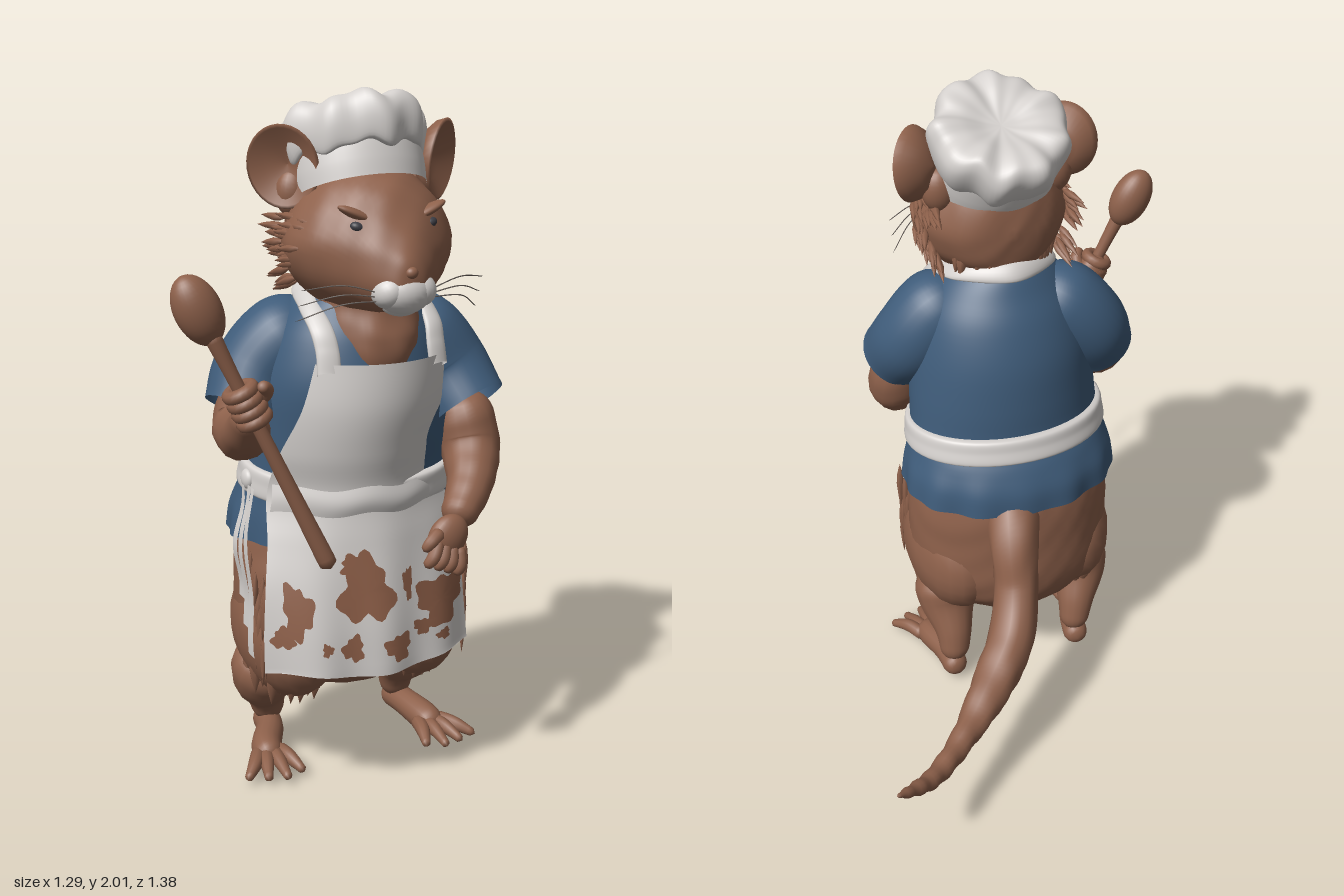
import * as THREE from 'three';
import { mergeVertices, mergeGeometries } from 'three/addons/utils/BufferGeometryUtils.js';

const CX = -0.045; // body centre line
const mat = (name, color, side = THREE.FrontSide) => {
  const m = new THREE.MeshStandardMaterial({ color, side });
  m.name = name;
  return m;
};
let seed = 7;
const rand = () => (seed = (seed * 16807) % 2147483647) / 2147483647;

// Smooth (Catmull-Rom) interpolation through rows of numbers
function sample(rows, t) {
  const n = rows.length - 1, f = Math.min(t * n, n - 1e-6), i = Math.floor(f), s = f - i;
  const at = k => rows[Math.max(0, Math.min(n, k))];
  return rows[0].map((_, c) => {
    const [a, b, d, e] = [at(i - 1)[c], at(i)[c], at(i + 1)[c], at(i + 2)[c]];
    return b + 0.5 * s * (d - a + s * (2 * a - 5 * b + 4 * d - e + s * (3 * (b - d) + e - a)));
  });
}

function weld(g) {
  g.deleteAttribute('normal');
  g.deleteAttribute('uv');
  g = mergeVertices(g, 1e-5);
  g.computeVertexNormals();
  return g;
}

// Grid surface from f(u, v) -> [x, y, z]
function grid(f, nu, nv) {
  const g = new THREE.PlaneGeometry(1, 1, nu, nv), p = g.attributes.position;
  for (let i = 0; i < p.count; i++) p.setXYZ(i, ...f(p.getX(i) + 0.5, p.getY(i) + 0.5));
  return weld(g);
}

// Stacked ellipses, rows: [y, cx, cz, rx, rz]
const loft = (rows, ripple = () => 1, nu = 56, nv = 40) => grid((u, v) => {
  const [y, cx, cz, rx, rz] = sample(rows, v), a = u * Math.PI * 2, k = ripple(a, v);
  return [cx - Math.max(rx, 0) * k * Math.cos(a), y, cz + Math.max(rz, 0) * k * Math.sin(a)];
}, nu, nv);

// Tapered tube with rounded ends, points: [x, y, z, radius]
function limb(pts, { openEnd = false, n = 40, seg = 16 } = {}) {
  const curve = new THREE.CatmullRomCurve3(pts.map(p => new THREE.Vector3(p[0], p[1], p[2])));
  const len = curve.getLength(), g = new THREE.TubeGeometry(curve, n, 1, seg);
  const p = g.attributes.position, v = new THREE.Vector3();
  for (let i = 0; i <= n; i++) {
    const u = i / n, c = curve.getPointAt(u), r = sample(pts, curve.getUtoTmapping(u))[3];
    const d = Math.min(1, (openEnd ? u : Math.min(u, 1 - u)) * len / r);
    const k = r * Math.sqrt(Math.max(0, 1 - (1 - d) ** 2));
    for (let j = 0; j <= seg; j++) {
      const q = i * (seg + 1) + j;
      v.fromBufferAttribute(p, q).sub(c).multiplyScalar(k).add(c);
      p.setXYZ(q, v.x, v.y, v.z);
    }
  }
  return weld(g);
}

function ball(x, y, z, rx, ry, rz, rotZ = 0) {
  return new THREE.SphereGeometry(1, 24, 16).scale(rx, ry, rz).rotateZ(rotZ).translate(x, y, z);
}

// Uneven fur relief along the normals
function fuzz(g, amp) {
  const p = g.attributes.position, n = g.attributes.normal;
  for (let i = 0; i < p.count; i++) {
    const [x, y, z] = [p.getX(i), p.getY(i), p.getZ(i)];
    const d = amp * Math.sin(x * 55 + y * 23) * Math.sin(z * 47 - y * 31);
    p.setXYZ(i, x + n.getX(i) * d, y + n.getY(i) * d, z + n.getZ(i) * d);
  }
  g.computeVertexNormals();
  return g;
}

// Teardrop lock of fur from a to a + direction
function tuft(a, dir, r) {
  const d = new THREE.Vector3(...dir), l = d.length();
  const q = new THREE.Quaternion().setFromUnitVectors(new THREE.Vector3(0, 1, 0), d.normalize());
  const profile = [[0, 0], [r * 0.7, l * 0.18], [r, l * 0.4], [r * 0.6, l * 0.72], [0, l]].map(p => new THREE.Vector2(...p));
  return new THREE.LatheGeometry(profile, 7).applyQuaternion(q).translate(...a);
}

// Apron rows: [y, centre x, half width, front z, curvature]
const apronRows = [[0.4, -0.08, 0.32, 0.6, 0.9], [0.52, -0.08, 0.315, 0.59, 1.0], [0.65, -0.075, 0.305, 0.57, 1.1],
  [0.77, -0.07, 0.29, 0.55, 1.4], [0.9, -0.075, 0.27, 0.53, 1.9], [1.02, -0.08, 0.245, 0.552, 1.9],
  [1.15, -0.065, 0.213, 0.572, 1.9], [1.28, CX, 0.197, 0.568, 1.9]];
function apronPoint(u, v) {
  const [y, cx, w, z, k] = sample(apronRows, v), x = (u * 2 - 1) * w;
  const fold = 0.008 * Math.sin(x * 32 + 1) * Math.max(0, 1 - v * 1.8);
  return [cx + x, y - 0.012 * Math.cos(x * 9) * (v < 0.02 ? 1 : 0), z - k * x * x + fold];
}
function onApron(x, y) {
  let lo = 0, hi = 1;
  for (let i = 0; i < 20; i++) { const m = (lo + hi) / 2; if (sample(apronRows, m)[0] < y) lo = m; else hi = m; }
  const [, cx, w] = sample(apronRows, lo), u = THREE.MathUtils.clamp(((x - cx) / w + 1) / 2, 0.01, 0.99);
  const p = apronPoint(u, lo);
  return [p[0], y, p[2] + 0.005];
}

export function createModel() {
  const root = new THREE.Group();
  root.name = 'ratCook';
  const fur = mat('furBrown', 0x8e614b), shirt = mat('shirtBlue', 0x3f5c7a, THREE.DoubleSide);
  const cloth = mat('clothWhite', 0xd4d0cd, THREE.DoubleSide), eyeMat = mat('eyeDark', 0x3c3d44);
  const stain = mat('stainBrown', 0x8e5f48, THREE.DoubleSide), whiskerMat = mat('whiskerGrey', 0x6a625d);
  const add = (name, geo, m, parent = root) => {
    const mesh = new THREE.Mesh(geo, m);
    mesh.name = name;
    parent.add(mesh);
    return mesh;
  };

  // Hips, neck and tail
  add('hips', fuzz(loft([[0.23, -0.04, 0.2, 0, 0], [0.25, -0.04, 0.2, 0.15, 0.13], [0.32, -0.04, 0.22, 0.27, 0.23],
    [0.42, -0.04, 0.225, 0.325, 0.27], [0.57, -0.04, 0.23, 0.335, 0.275], [0.7, -0.04, 0.22, 0.325, 0.257],
    [0.85, -0.04, 0.23, 0.29, 0.23]]), 0.002), fur);
  add('neck', fuzz(loft([[1.2, CX, 0.41, 0.08, 0.1], [1.27, CX, 0.4, 0.125, 0.147], [1.34, CX, 0.38, 0.155, 0.168],
    [1.43, CX, 0.36, 0.155, 0.16], [1.55, CX, 0.36, 0.16, 0.17]]), 0.003), fur);
  add('tail', fuzz(limb([[0.0, 0.74, 0.08, 0.09], [0.04, 0.65, -0.04, 0.08], [0.06, 0.5, -0.12, 0.07], [0.11, 0.38, -0.21, 0.075],
    [0.21, 0.31, -0.31, 0.066], [0.36, 0.25, -0.45, 0.042], [0.49, 0.25, -0.56, 0.03], [0.57, 0.3, -0.63, 0.022],
    [0.64, 0.36, -0.69, 0.01]], { n: 80 }), 0.005), fur);

  // Legs and feet: the left foot points ahead, the right one is turned out
  for (const [s, heel, ball0] of [[1, 0.25, 0.275], [-1, 0.185, 0.255]]) {
    const leg = new THREE.Group();
    leg.name = s > 0 ? 'leftLeg' : 'rightLeg';
    root.add(leg);
    const at = (d, y, z, r) => [-0.04 + s * d, y, z, r];
    add('thigh', fuzz(ball(-0.04 + s * 0.195, 0.44, 0.25, 0.15, 0.215, 0.245), 0.002), fur, leg);
    add('shin', limb([at(0.225, 0.36, 0.23, 0.13), at(0.238, 0.25, 0.18, 0.098), at((heel + 0.23) / 2, 0.16, 0.115, 0.062),
      at(heel, 0.06, 0.08, 0.046)]), fur, leg);
    add('foot', limb([at(heel, 0.046, 0.035, 0.042), at(heel * 0.7 + ball0 * 0.3, 0.05, 0.14, 0.042),
      at(ball0, 0.04, 0.24, 0.046), at(ball0 + 0.012, 0.03, 0.31, 0.04)]), fur, leg);
    for (let i = 0; i < 4; i++) {
      const k = i - 1.5, e = ball0 + 0.025 + k * 0.058;
      add('toe', limb([at(ball0 + k * 0.018, 0.035, 0.25, 0.024), at(ball0 + 0.012 + k * 0.036, 0.036, 0.32, 0.022),
        at(e, 0.016, 0.42 - Math.abs(i - 1.2) * 0.025, 0.012)], { n: 14, seg: 10 }), fur, leg);
    }
    const tufts = [];
    for (let i = 0; i < 24; i++) {
      const a = i / 24 * Math.PI * 2, c = Math.cos(a), b = Math.sin(a);
      tufts.push(tuft([-0.04 + s * 0.2 + c * 0.105, 0.36 + rand() * 0.04, 0.24 + b * 0.16], [0, -0.12 - rand() * 0.03, -b * 0.03], 0.022));
      tufts.push(tuft([-0.04 + s * (0.312 + rand() * 0.008), 0.48 + rand() * 0.22, 0.27 + rand() * 0.15], [s * 0.004, -0.17, -0.01], 0.011));
    }
    add('thighFur', mergeGeometries(tufts), fur, leg);
  }

  // Shirt with a pleated hem
  add('shirtBody', loft([[0.73, -0.04, 0.215, 0.35, 0.268], [0.8, -0.04, 0.22, 0.342, 0.266], [0.87, -0.04, 0.238, 0.322, 0.254],
    [0.94, -0.04, 0.26, 0.307, 0.238], [1.06, -0.04, 0.28, 0.298, 0.248], [1.2, CX, 0.3, 0.285, 0.25],
    [1.32, CX, 0.31, 0.25, 0.22], [1.4, CX, 0.32, 0.2, 0.185], [1.45, CX, 0.33, 0.155, 0.165], [1.465, CX, 0.335, 0.13, 0.15]],
    (a, v) => 1 + (0.016 * Math.sin(a * 14) + 0.01 * Math.sin(a * 9 + 1)) * Math.max(0, 1 - v * 4.5), 112), shirt);
  add('rightSleeve', limb([[-0.13, 1.36, 0.29, 0.11], [-0.23, 1.3, 0.25, 0.13], [-0.31, 1.21, 0.235, 0.128],
    [-0.36, 1.11, 0.265, 0.118]], { openEnd: true, seg: 28 }), shirt);
  add('leftSleeve', limb([[0.04, 1.36, 0.33, 0.11], [0.14, 1.3, 0.34, 0.13], [0.215, 1.2, 0.365, 0.13],
    [0.255, 1.1, 0.44, 0.118]], { openEnd: true, seg: 28 }), shirt);

  // Arms and hands
  add('rightForearm', fuzz(limb([[-0.32, 1.2, 0.25, 0.085], [-0.375, 1.07, 0.29, 0.088], [-0.42, 1.09, 0.42, 0.062],
    [-0.445, 1.18, 0.53, 0.045]]), 0.002), fur);
  add('leftForearm', fuzz(limb([[0.24, 1.14, 0.41, 0.085], [0.265, 0.99, 0.44, 0.088], [0.22, 0.9, 0.53, 0.068],
    [0.13, 0.81, 0.61, 0.05]]), 0.002), fur);
  add('leftPalm', ball(0.1, 0.785, 0.63, 0.058, 0.068, 0.036, -0.6), fur);
  for (let i = 0; i < 4; i++)
    add('leftFinger', limb([[0.065 + i * 0.021, 0.785 - i * 0.009, 0.64, 0.021], [0.04 + i * 0.027, 0.742 - i * 0.013, 0.662, 0.019],
      [0.018 + i * 0.03, 0.715 - i * 0.011, 0.655, 0.014]], { n: 14, seg: 10 }), fur);
  add('leftThumb', limb([[0.075, 0.81, 0.64, 0.02], [0.035, 0.785, 0.655, 0.018], [0.015, 0.76, 0.65, 0.013]], { n: 14, seg: 10 }), fur);
  add('rightPalm', ball(-0.455, 1.205, 0.53, 0.05, 0.06, 0.04, 0.4), fur);

  // Spoon and the fingers round its handle
  const low = new THREE.Vector3(-0.23, 0.72, 0.575), high = new THREE.Vector3(-0.55, 1.4, 0.53);
  const dir = high.clone().sub(low).normalize();
  const turn = new THREE.Quaternion().setFromUnitVectors(new THREE.Vector3(0, 1, 0), dir);
  const along = (t, r) => [...low.clone().lerp(high, t).toArray(), r];
  add('spoonHandle', limb([along(0, 0.026), along(0.4, 0.021), along(0.8, 0.019), along(1.02, 0.024)]), fur);
  const spoonBowl = new THREE.SphereGeometry(1, 28, 20).scale(0.064, 0.1, 0.055);
  add('spoonBowl', spoonBowl.applyQuaternion(turn).translate(-0.578, 1.46, 0.515), fur);
  for (let i = 0; i < 4; i++)
    add('rightFinger', new THREE.TorusGeometry(0.034, 0.019, 10, 20).rotateX(Math.PI / 2).applyQuaternion(turn)
      .translate(...along(0.65 + i * 0.038, 0).slice(0, 3)), fur);
  add('rightThumb', limb([[-0.43, 1.2, 0.53, 0.022], [-0.41, 1.24, 0.56, 0.021], [-0.435, 1.265, 0.59, 0.015]], { n: 14 }), fur);

  // Apron, belt, neck strap and loose ties
  add('apron', grid(apronPoint, 60, 50), cloth);
  const belt = loft([[0.875, -0.04, 0.25, 0.3, 0.23], [0.88, -0.04, 0.25, 0.328, 0.262], [0.92, -0.04, 0.257, 0.326, 0.26],
    [0.955, -0.04, 0.262, 0.319, 0.254], [0.96, -0.04, 0.265, 0.29, 0.22]]);
  const bp = belt.attributes.position;
  for (let i = 0; i < bp.count; i++) bp.setY(i, bp.getY(i) + (0.22 - bp.getZ(i)) * 0.1);
  belt.computeVertexNormals();
  add('belt', belt, cloth);
  add('waistband', grid((u, v) => {
    const p = onApron(-0.075 + (u * 2 - 1) * 0.275, 0.85 + v * 0.075);
    return [p[0], p[1] + 0.006 * Math.sin(u * 17), p[2] + 0.004 + 0.012 * Math.sin(v * Math.PI)];
  }, 40, 8), cloth);
  // The strap is a flat band: centre line plus a sideways width that lies on the shoulders
  const strapSide = [[0.165, 1.25, 0.515, 0.031, 0, -0.01], [0.163, 1.31, 0.5, 0.031, 0, -0.01], [0.168, 1.37, 0.465, 0.03, -0.004, -0.01],
    [0.17, 1.43, 0.37, 0.024, -0.018, 0], [0.135, 1.465, 0.25, 0.02, -0.022, -0.008]];
  const strapRows = [...strapSide, [0, 1.478, 0.172, 0, -0.024, -0.02],
    ...strapSide.map(([x, y, z, a, b, c]) => [-x, y, z, -a, b, c]).reverse()];
  add('neckStrap', grid((u, v) => {
    const [x, y, z, a, b, c] = sample(strapRows, v), t = u * Math.PI * 2, w = Math.cos(t), h = 0.014 * Math.sin(t);
    const side = Math.sign(x) * Math.min(1, Math.abs(x) / 0.13);
    return [CX + x + a * w + h * side * 0.3, y + b * w + h * 0.6, z + c * w + h * (v > 0.35 && v < 0.65 ? -0.6 : 0.6)];
  }, 16, 100), cloth);
  add('tieKnot', ball(-0.36, 0.91, 0.28, 0.018, 0.03, 0.03), cloth);
  for (let i = 0; i < 3; i++)
    add('looseTie', grid((u, v) => [-0.375 - 0.035 * Math.sin(v * 2) + 0.008 * Math.sin(v * 9 + i), 0.9 - v * (0.32 + i * 0.07),
      0.28 + i * 0.03 + v * (0.06 + i * 0.02) + (u - 0.5) * (0.02 + 0.025 * v)], 3, 16), cloth);

  // Stains on the apron: [x, y, half width, half height]
  [[-0.12, 0.635, 0.075, 0.09], [-0.15, 0.71, 0.04, 0.028], [-0.31, 0.585, 0.036, 0.075], [0.13, 0.57, 0.088, 0.07],
    [-0.03, 0.465, 0.042, 0.038], [-0.165, 0.475, 0.03, 0.036], [-0.35, 0.51, 0.028, 0.03], [0.18, 0.69, 0.022, 0.03],
    [-0.24, 0.48, 0.015, 0.018], [0.06, 0.505, 0.035, 0.022], [0.01, 0.64, 0.016, 0.045], [0.13, 0.465, 0.025, 0.015]
  ].forEach(([x, y, w, h], k) => add('stain', grid((u, v) => {
    const a = u * Math.PI * 2, r = v * (1 + 0.2 * Math.sin(a * 3 + k) + 0.13 * Math.sin(a * 7 + k * 2));
    return onApron(x + Math.cos(a) * w * r, y - Math.sin(a) * h * r);
  }, 40, 4), stain));

  // Head, lofted from the nape to the snout
  const head = new THREE.Group();
  head.name = 'head';
  root.add(head);
  const skull = loft([[0.17, CX, -1.6, 0, 0], [0.195, CX, -1.6, 0.12, 0.13], [0.27, CX, -1.61, 0.2, 0.19], [0.37, CX, -1.605, 0.24, 0.21],
    [0.46, CX, -1.6, 0.228, 0.198], [0.54, CX, -1.585, 0.178, 0.168], [0.6, CX, -1.552, 0.118, 0.125],
    [0.645, CX, -1.525, 0.074, 0.088], [0.672, CX, -1.515, 0.038, 0.05], [0.68, CX, -1.51, 0, 0]]).rotateX(Math.PI / 2);
  const hp = skull.attributes.position;
  for (let i = 0; i < hp.count; i++)
    hp.setX(i, CX + (hp.getX(i) - CX) * Math.min(1, 1 - 0.9 * (hp.getY(i) - 1.6)));
  skull.computeVertexNormals();
  add('skull', fuzz(skull, 0.002), fur, head);
  add('nose', ball(CX, 1.545, 0.672, 0.018, 0.016, 0.016), fur, head);
  add('muzzleFront', ball(CX, 1.487, 0.625, 0.078, 0.06, 0.064), cloth, head);
  add('chin', ball(CX, 1.455, 0.605, 0.056, 0.036, 0.058), cloth, head);
  const headFur = [];
  for (const s of [1, -1]) {
    add('muzzleSide', ball(CX + s * 0.042, 1.492, 0.625, 0.05, 0.046, 0.054, -s * 0.55), cloth, head);
    add('eye', ball(CX + s * 0.105, 1.655, 0.562, 0.022, 0.015, 0.018, s * 0.3), eyeMat, head);
    add('brow', ball(CX + s * 0.1, 1.685, 0.551, 0.062, 0.014, 0.026, s * 0.42), fur, head);
    const ear = new THREE.LatheGeometry([[0, -0.06], [0.06, -0.048], [0.096, -0.01], [0.105, 0.014], [0.096, 0.018], [0.055, -0.012], [0, -0.022]]
      .map(p => new THREE.Vector2(...p)), 32).rotateX(Math.PI / 2).scale(1, 1.1, 1);
    add('ear', ear.rotateY(s * 0.75).rotateZ(-s * 0.14).translate(-0.035 + s * 0.23, 1.797, 0.34), fur, head);
    add('earBase', ball(CX + s * 0.18, 1.72, 0.31, 0.055, 0.07, 0.045), fur, head);
    for (let i = 0; i < 30; i++) {
      const y = 1.47 + rand() * 0.2, z = 0.3 + rand() * 0.17;
      const x = 0.228 * Math.sqrt(1 - ((y - 1.605) / 0.21) ** 2) * Math.min(1, 1 - 0.9 * (y - 1.6)) - 0.006;
      headFur.push(tuft([CX + s * x, y, z], [s * (0.008 + rand() * 0.03), -0.02 + (y - 1.58) * 0.25, -0.11], 0.012));
    }
    for (let i = 0; i < 3; i++)
      add('whisker', limb([[CX + s * 0.07, 1.49 - i * 0.01, 0.64, 0.0018], [CX + s * 0.17, 1.515 - i * 0.025, 0.62, 0.0018],
        [CX + s * 0.27, 1.5 - i * 0.045, 0.57 - i * 0.02, 0.0014]], { n: 14, seg: 5 }), whiskerMat, head);
  }
  for (let i = 0; i < 24; i++) {
    const a = (i / 23 - 0.5) * 2.4, y = 1.54 + rand() * 0.14;
    headFur.push(tuft([CX + Math.sin(a) * 0.17, y, 0.335 - Math.cos(a) * 0.13], [Math.sin(a) * 0.015, -0.11, -Math.cos(a) * 0.008], 0.018));
  }
  add('headFur', mergeGeometries(headFur), fur, head);

  // Cook's hat, tilted back, with a crumpled puff
  const hat = new THREE.Group();
  hat.name = 'hat';
  hat.position.set(CX, 1.82, 0.31);
  hat.rotation.x = -0.4;
  root.add(hat);
  add('hatBand', loft([[-0.11, 0, 0, 0.185, 0.17], [-0.06, 0, 0, 0.188, 0.175], [0, 0, 0, 0.185, 0.175], [0.04, 0, 0, 0.175, 0.165]]), cloth, hat);
  const puff = loft([[-0.02, 0, 0, 0.165, 0.165], [-0.022, 0, 0, 0.19, 0.19], [0.03, 0, 0, 0.205, 0.21], [0.08, 0, 0, 0.203, 0.21],
    [0.113, 0, 0, 0.178, 0.185], [0.118, 0, 0, 0.12, 0.125], [0.1, 0, 0, 0.05, 0.05], [0.095, 0, 0, 0, 0]],
    (a, v) => 1 + (0.04 * Math.sin(a * 9) + 0.025 * Math.sin(a * 4 + 1)) * Math.sin(Math.PI * Math.min(1, v * 1.2)), 96);
  const pp = puff.attributes.position;
  for (let i = 0; i < pp.count; i++) {
    const x = pp.getX(i), z = pp.getZ(i), a = Math.atan2(z, x), r = (Math.hypot(x, z) / 0.2) ** 2;
    pp.setY(i, pp.getY(i) + r * (0.011 * Math.sin(a * 7 + 1) + 0.007 * Math.sin(a * 12)));
  }
  puff.computeVertexNormals();
  add('hatPuff', puff, cloth, hat);

  return root;
}
